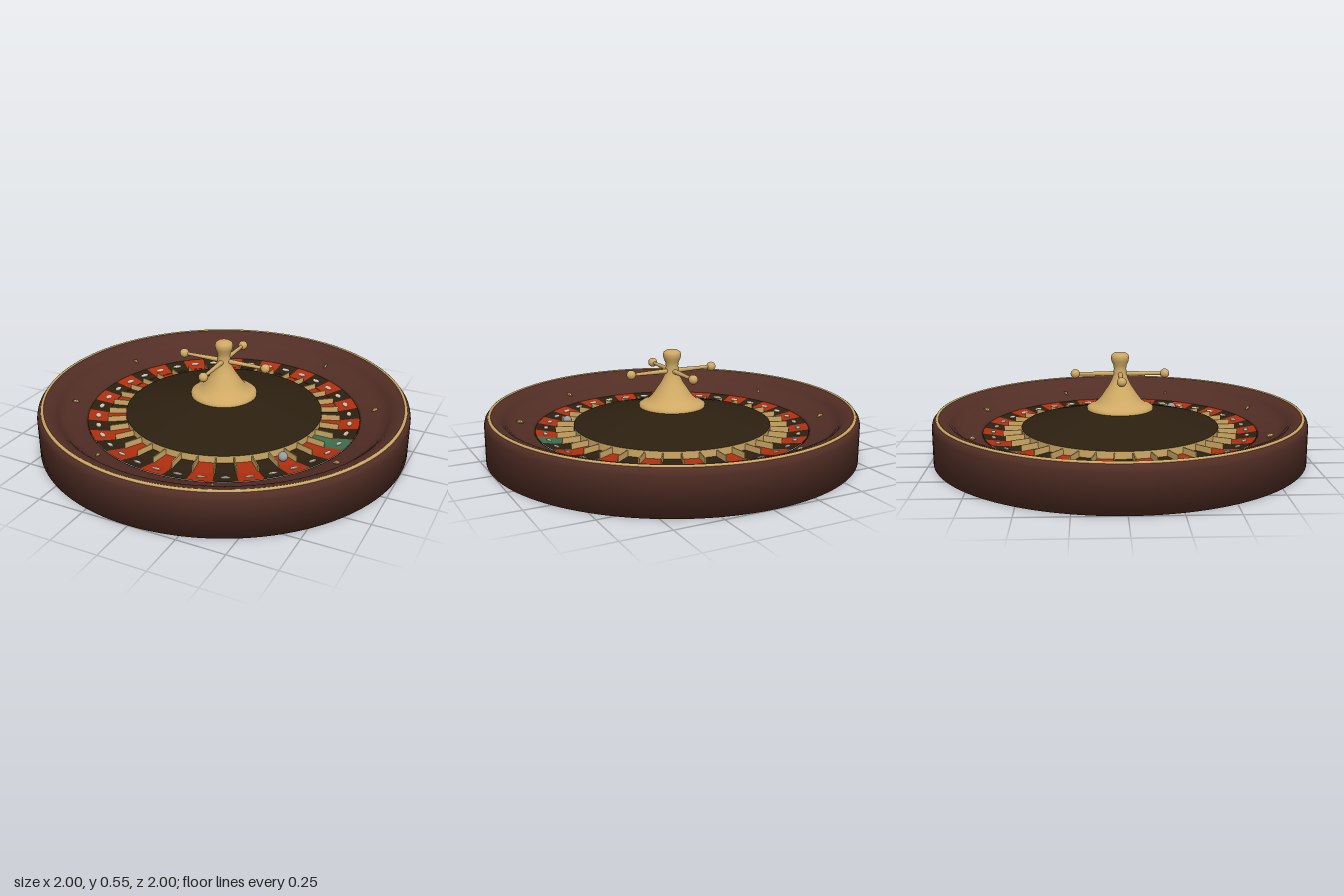
import * as THREE from 'three';

const mat = (name, color) => {
  const m = new THREE.MeshStandardMaterial({ color, side: THREE.DoubleSide });
  m.name = name;
  return m;
};

export function createModel() {
  const wood = mat('dark wood', 0x522e25);
  const gold = mat('gold', 0xcfa964);
  const black = mat('black brown', 0x2c2010);
  const red = mat('red', 0xb23010);
  const green = mat('green', 0x3f7050);
  const silver = mat('silver', 0x9a9a9a);
  const cream = mat('cream', 0xcfc4b4);

  const root = new THREE.Group();
  root.name = 'rouletteWheel';

  const add = (name, geometry, material, parent = root) => {
    const mesh = new THREE.Mesh(geometry, material);
    mesh.name = name;
    parent.add(mesh);
    return mesh;
  };
  const lathe = (points, segments = 96, start = 0, length = Math.PI * 2) =>
    new THREE.LatheGeometry(points.map(([r, y]) => new THREE.Vector2(r, y)), segments, start, length);
  // group turned so its local +x points along angle a, measured from +x towards +z
  const spoke = (name, a) => {
    const g = new THREE.Group();
    g.name = name;
    g.rotation.y = -a;
    root.add(g);
    return g;
  };

  // Wooden bowl: hollow ring with a sloping ball track
  add('bowl', lathe([
    [0.735, 0], [1, 0], [1, 0.195], [0.995, 0.215], [0.985, 0.228], [0.965, 0.235], [0.95, 0.232],
    [0.915, 0.222], [0.893, 0.2], [0.87, 0.18], [0.84, 0.168], [0.75, 0.14], [0.738, 0.132], [0.735, 0],
  ], 128), wood);

  // Gold trim on the rim
  const trim = add('rimTrim', new THREE.TorusGeometry(0.972, 0.009, 8, 128), gold);
  trim.rotation.x = Math.PI / 2;
  trim.position.y = 0.231;

  // Ball deflectors
  for (let i = 0; i < 8; i++) {
    const g = spoke('deflector', (i + 0.5) * Math.PI / 4);
    const d = add('deflectorStud', new THREE.OctahedronGeometry(1), gold, g);
    d.scale.set(0.022, 0.014, 0.008);
    d.position.set(0.82, 0.168, 0);
    d.rotation.set(0, 0.3, 0.3);
  }

  // Pockets: floor, sloped outer panel, plain marker and gold divider
  const count = 37;
  const step = Math.PI * 2 / count;
  for (let i = 0; i < count; i++) {
    const colour = i === 0 ? green : i % 2 ? red : black;
    const start = Math.PI / 2 - (i + 1) * step;
    add('pocketFloor', lathe([[0.635, 0.115], [0.53, 0.115]], 4, start, step), colour);
    add('pocketPanel', lathe([[0.738, 0.135], [0.635, 0.117]], 4, start, step), colour);

    const markerSpoke = spoke('marker', (i + 0.5) * step);
    const marker = add('markerPlate', new THREE.CylinderGeometry(1, 1, 0.004, 10), cream, markerSpoke);
    marker.scale.set(0.012, 1, 0.024);
    marker.position.set(0.685, 0.127, 0);
    marker.rotation.z = Math.atan2(0.018, 0.103);

    const divider = add('divider', new THREE.BoxGeometry(0.1, 0.032, 0.006), gold, spoke('dividerSpoke', i * step));
    divider.position.set(0.582, 0.131, 0);
  }

  // Rotor: gold edge wall and dark shallow cone
  add('rotorEdge', lathe([[0.53, 0.114], [0.53, 0.155]]), gold);
  add('rotorCone', lathe([[0.533, 0.155], [0.19, 0.242], [0.172, 0.246]]), black);

  // Central turret and finial
  add('turret', lathe([
    [0.178, 0.244], [0.178, 0.258], [0.165, 0.266], [0.14, 0.275], [0.118, 0.292], [0.1, 0.315],
    [0.08, 0.345], [0.06, 0.375], [0.045, 0.405], [0.036, 0.435], [0.033, 0.465], [0.036, 0.485],
    [0.045, 0.505], [0.049, 0.525], [0.045, 0.54], [0.03, 0.55], [0, 0.553],
  ], 48), gold);

  // Four handle arms with ball ends
  for (let i = 0; i < 4; i++) {
    const g = spoke('handle', i * Math.PI / 2);
    const arm = add('handleArm', new THREE.CylinderGeometry(0.008, 0.014, 0.24, 16), gold, g);
    arm.rotation.z = -Math.PI / 2;
    arm.position.set(0.12, 0.437, 0);
    add('handleBall', new THREE.SphereGeometry(0.025, 20, 14), gold, g).position.set(0.24, 0.437, 0);
  }

  // Rolling ball resting in a pocket
  add('ball', new THREE.SphereGeometry(0.025, 20, 14), silver).position.set(0.485, 0.14, 0.327);

  return root;
}
